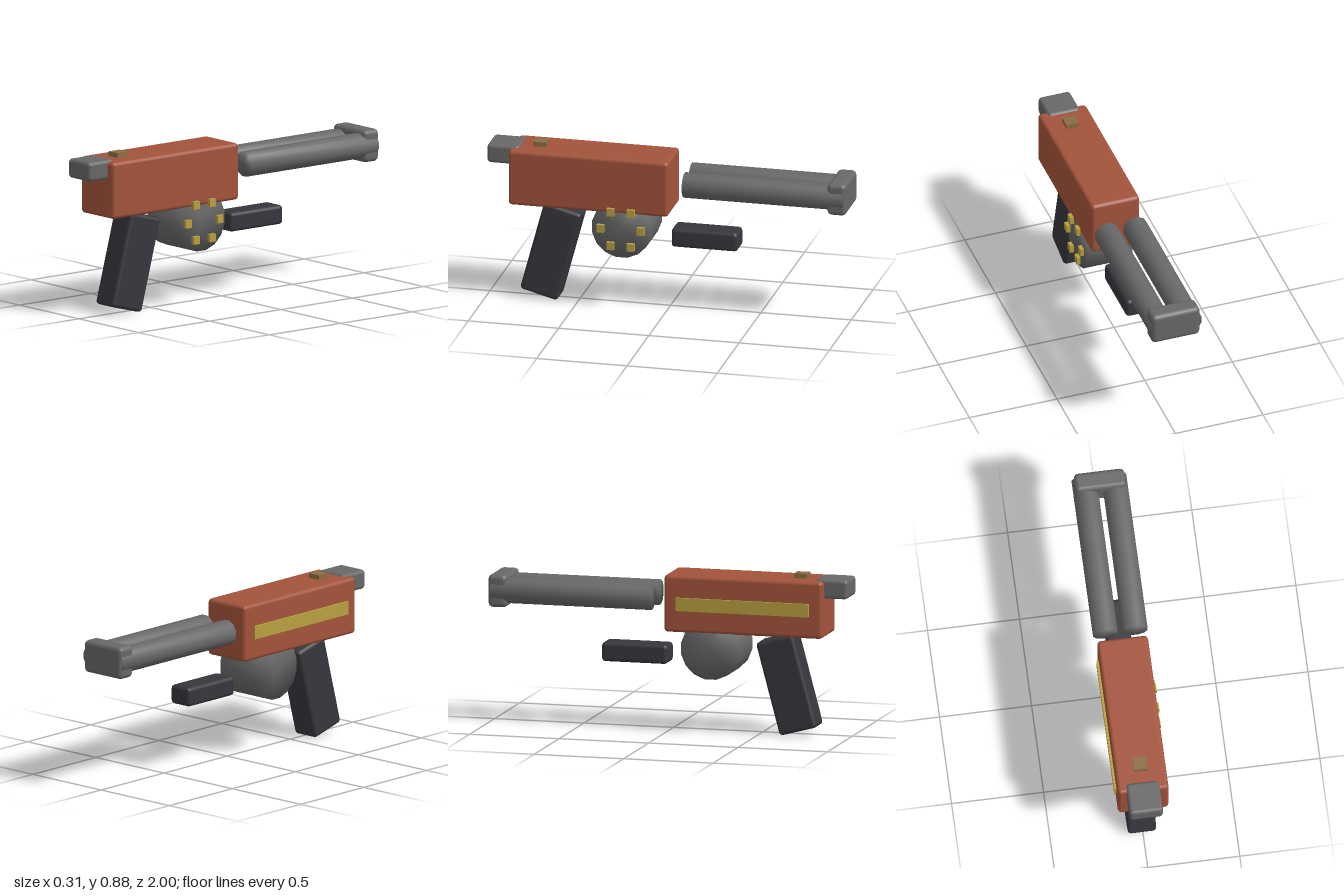
import * as THREE from 'three';
import { mergeVertices } from 'three/addons/utils/BufferGeometryUtils.js';
import { RoundedBoxGeometry } from 'three/addons/geometries/RoundedBoxGeometry.js';

const CX = -0.006; // centre plane of the main parts

function material(name, color) {
  const m = new THREE.MeshStandardMaterial({ color });
  m.name = name;
  return m;
}

// Cylinder whose normals blend softly over the rims, flats facing the axes
function softCylinder(radius, length, sides) {
  const g = new THREE.CylinderGeometry(radius, radius, length, sides, 1);
  g.rotateY(Math.PI / sides);
  g.deleteAttribute('normal');
  g.deleteAttribute('uv');
  const soft = mergeVertices(g, 1e-4);
  soft.computeVertexNormals();
  return soft;
}

export function createModel() {
  const group = new THREE.Group();
  const rust = material('rust red', 0xa3533b);
  const steel = material('steel grey', 0x686868);
  const dark = material('dark grip', 0x37363d);
  const brass = material('brass yellow', 0xb8a03f);
  const bronze = material('bronze', 0x8c6d42);

  const add = (name, geometry, mat, x, y, z) => {
    const mesh = new THREE.Mesh(geometry, mat);
    mesh.name = name;
    mesh.position.set(x, y, z);
    group.add(mesh);
    return mesh;
  };
  const rounded = (w, h, d, r) => new RoundedBoxGeometry(w, h, d, 2, r);

  // Receiver with rear block and sight
  add('receiver', rounded(0.275, 0.311, 0.885, 0.02), rust, CX, 0.701, 0.427);
  add('rearBlock', rounded(0.182, 0.106, 0.18, 0.02), steel, CX, 0.813, 0.908);
  add('rearSight', new THREE.BoxGeometry(0.072, 0.05, 0.072), bronze, CX, 0.857, 0.72);

  // Brass strip along one side
  add('sideStrip', new THREE.BoxGeometry(0.03, 0.072, 0.742), brass, -0.141, 0.701, 0.425);

  // Twin barrels and muzzle block
  for (const side of [-1, 1]) {
    const barrel = add(side < 0 ? 'rightBarrel' : 'leftBarrel',
      softCylinder(0.0695, 0.89, 12), steel, CX + side * 0.081, 0.722, -0.54);
    barrel.rotation.x = Math.PI / 2;
  }
  add('muzzleBlock', rounded(0.275, 0.178, 0.105, 0.025), steel, CX, 0.722, -0.9475);

  // Drum with a ring of six studs
  const drum = add('drum', softCylinder(0.166, 0.258, 16), steel, CX, 0.459, 0.243);
  drum.rotation.z = Math.PI / 2;
  for (let i = 0; i < 6; i++) {
    const a = i * Math.PI / 3;
    add('drumStud', new THREE.BoxGeometry(0.021, 0.043, 0.041), brass,
      0.142, 0.46 + 0.111 * Math.sin(a), 0.243 + 0.111 * Math.cos(a));
  }

  // Slanted rear grip and straight fore grip
  const grip = add('rearGrip', rounded(0.155, 0.52, 0.215, 0.02), dark, CX, 0.274, 0.65);
  grip.rotation.x = -THREE.MathUtils.degToRad(15);
  add('foreGrip', rounded(0.137, 0.105, 0.367, 0.02), dark, CX, 0.407, -0.2);

  return group;
}
